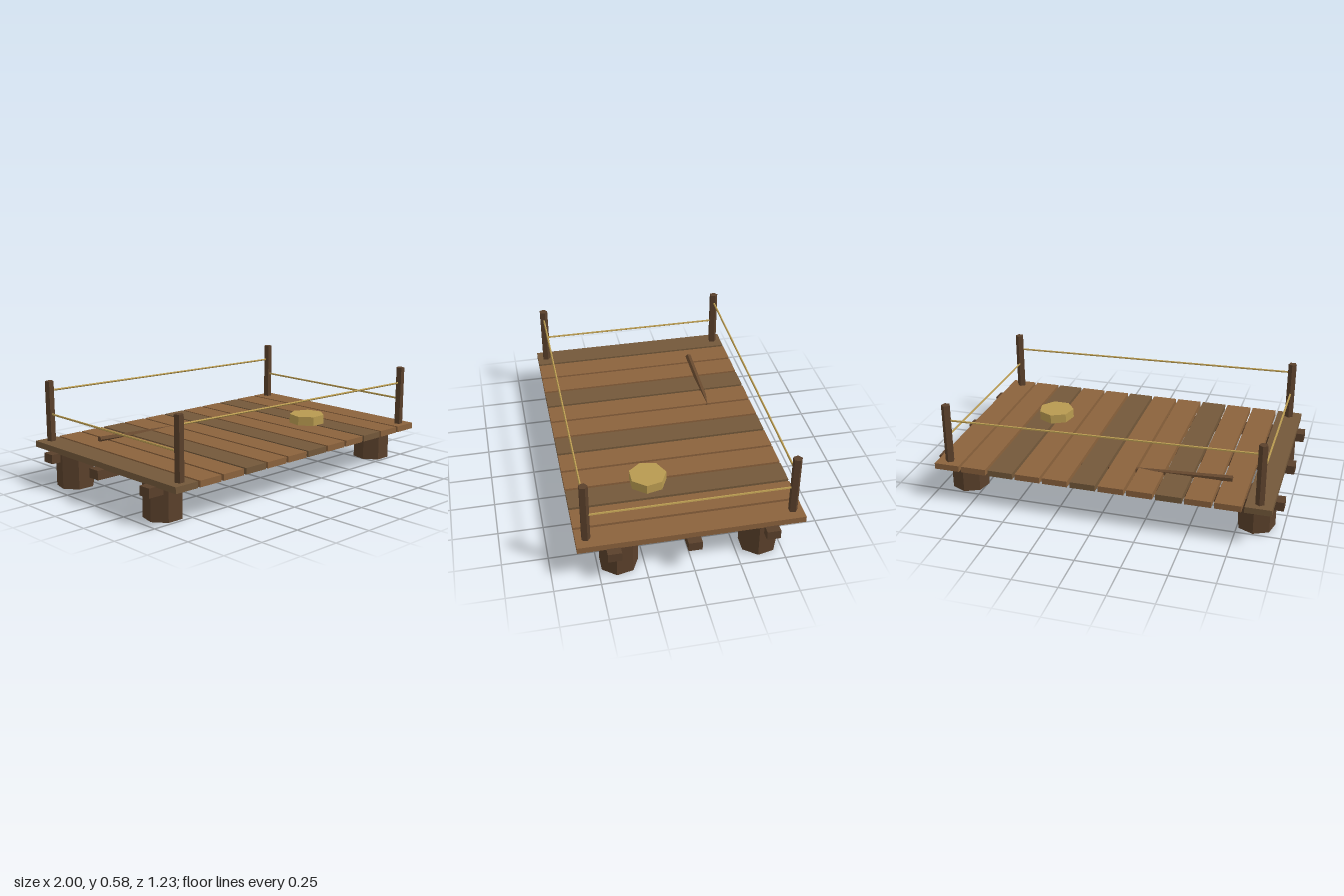
import * as THREE from 'three';

const mat = (color) => new THREE.MeshStandardMaterial({ color, flatShading: true });

export function createModel() {
  const raft = new THREE.Group();
  raft.name = 'raft';

  const plankLight = mat(0x8b623c);
  const plankDark = mat(0x73583a);
  const darkWood = mat(0x5a402b);
  const poleWood = mat(0x66482e);
  const straw = mat(0xb89a50);

  const add = (name, geometry, material, x, y, z) => {
    const mesh = new THREE.Mesh(geometry, material);
    mesh.name = name;
    mesh.position.set(x, y, z);
    raft.add(mesh);
    return mesh;
  };

  // Upright prism with one corner pointing to the back
  const prism = (r, h, sides) => new THREE.CylinderGeometry(r, r, h, sides).rotateY(Math.PI);

  // Round bar between two points, r0 at the start and r1 at the end
  const bar = (name, a, b, r0, r1, sides, material) => {
    const start = new THREE.Vector3(...a);
    const end = new THREE.Vector3(...b);
    const dir = end.clone().sub(start);
    const mid = start.clone().add(end).multiplyScalar(0.5);
    const mesh = add(name, new THREE.CylinderGeometry(r1, r0, dir.length(), sides), material, mid.x, mid.y, mid.z);
    mesh.quaternion.setFromUnitVectors(new THREE.Vector3(0, 1, 0), dir.normalize());
    return mesh;
  };

  // Deck planks, every third one darker
  const plankGeometry = new THREE.BoxGeometry(0.145, 0.035, 1.226);
  for (let i = 0; i < 12; i++) {
    add('plank', plankGeometry, i % 3 === 0 ? plankDark : plankLight, -0.883 + i * 0.1605, 0.214, 0);
  }

  // Long beams under the deck
  const beamGeometry = new THREE.BoxGeometry(2, 0.052, 0.075);
  for (const z of [-0.424, 0, 0.424]) add('beam', beamGeometry, darkWood, 0, 0.174, z);

  // Floats and corner posts
  const floatGeometry = prism(0.107, 0.198, 7);
  const postGeometry = prism(0.0256, 0.372, 5);
  const px = 0.884;
  const pz = 0.558;
  for (const sx of [-1, 1]) {
    for (const sz of [-1, 1]) {
      add('float', floatGeometry, darkWood, sx * 0.846, 0.099, sz * 0.385);
      add('cornerPost', postGeometry, darkWood, sx * px, 0.392, sz * pz);
    }
  }

  // Rope rails: sloping along front and back, level at the sides
  for (const s of [-1, 1]) {
    bar('longRope', [-px, 0.524, s * pz], [px, 0.484, s * pz], 0.006, 0.006, 5, straw);
    bar('sideRope', [s * px, 0.387, -pz], [s * px, 0.387, pz], 0.006, 0.006, 5, straw);
  }

  // Bundle lying on the deck
  add('bundle', prism(0.106, 0.055, 7), straw, 0.498, 0.258, 0.156);

  // Tapered pole sinking through the deck
  bar('pole', [-0.7, 0.243, -0.352], [0.65, 0.178, -0.352], 0.018, 0.012, 5, poleWood);

  return raft;
}
